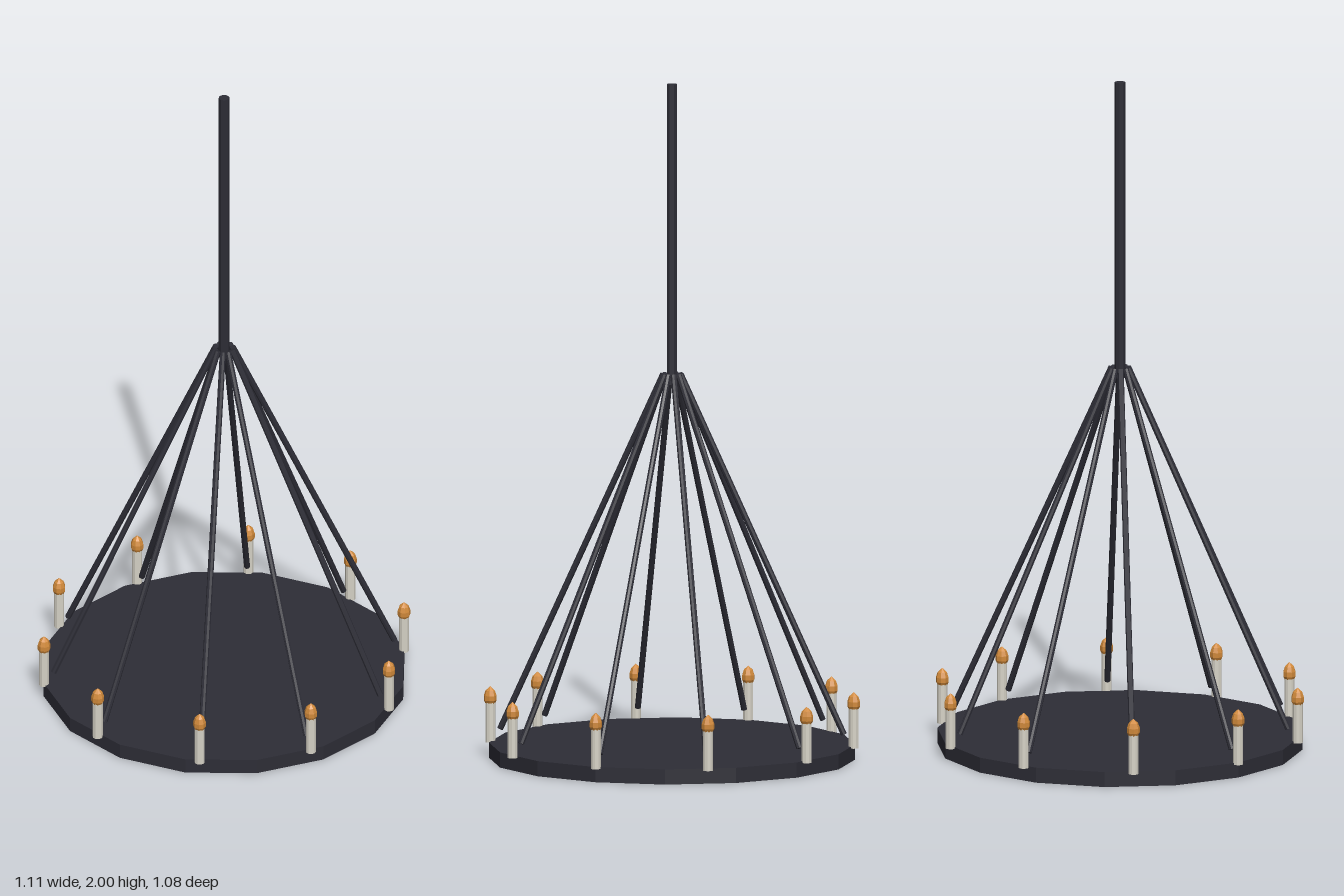
import * as THREE from 'three';

export function createModel() {
  const model = new THREE.Group();
  model.name = 'chandelier';

  const material = (name, color) => {
    const m = new THREE.MeshStandardMaterial({ color, flatShading: true });
    m.name = name;
    return m;
  };
  const iron = material('dark iron', 0x2d2d36);
  const wax = material('pale wax', 0xd6d2c6);
  const glow = material('amber flame', 0xd0893a);

  const add = (parent, name, geometry, mat, x, y, z) => {
    const mesh = new THREE.Mesh(geometry, mat);
    mesh.name = name;
    mesh.position.set(x, y, z);
    parent.add(mesh);
    return mesh;
  };

  // Round base plate and hanging pole
  add(model, 'basePlate', new THREE.CylinderGeometry(0.538, 0.538, 0.045, 16), iron, 0, 0.0225, 0);
  add(model, 'pole', new THREE.CylinderGeometry(0.016, 0.016, 0.89, 8), iron, 0, 1.555, 0);

  // Shared parts of the ten arms
  const top = new THREE.Vector3(0.026, 1.14, 0);
  const bottom = new THREE.Vector3(0.508, 0.08, 0);
  const span = top.clone().sub(bottom);
  const middle = top.clone().add(bottom).multiplyScalar(0.5);
  const rodGeometry = new THREE.CylinderGeometry(0.009, 0.009, span.length(), 8);
  const candleGeometry = new THREE.CylinderGeometry(0.015, 0.015, 0.12, 10);
  const flameProfile = [[0, 0], [0.014, 0.004], [0.019, 0.014], [0.019, 0.028], [0.014, 0.043], [0, 0.056]];
  const flameGeometry = new THREE.LatheGeometry(flameProfile.map(([r, y]) => new THREE.Vector2(r, y)), 8);

  // Slanted rod, candle and flame repeated around the plate
  for (let i = 0; i < 10; i++) {
    const arm = new THREE.Group();
    arm.name = `arm${i + 1}`;
    arm.rotation.y = (i / 10) * Math.PI * 2;
    const rod = add(arm, 'rod', rodGeometry, iron, middle.x, middle.y, 0);
    rod.quaternion.setFromUnitVectors(new THREE.Vector3(0, 1, 0), span.clone().normalize());
    add(arm, 'candle', candleGeometry, wax, 0.537, 0.1, 0);
    add(arm, 'flame', flameGeometry, glow, 0.537, 0.15, 0);
    model.add(arm);
  }

  return model;
}
